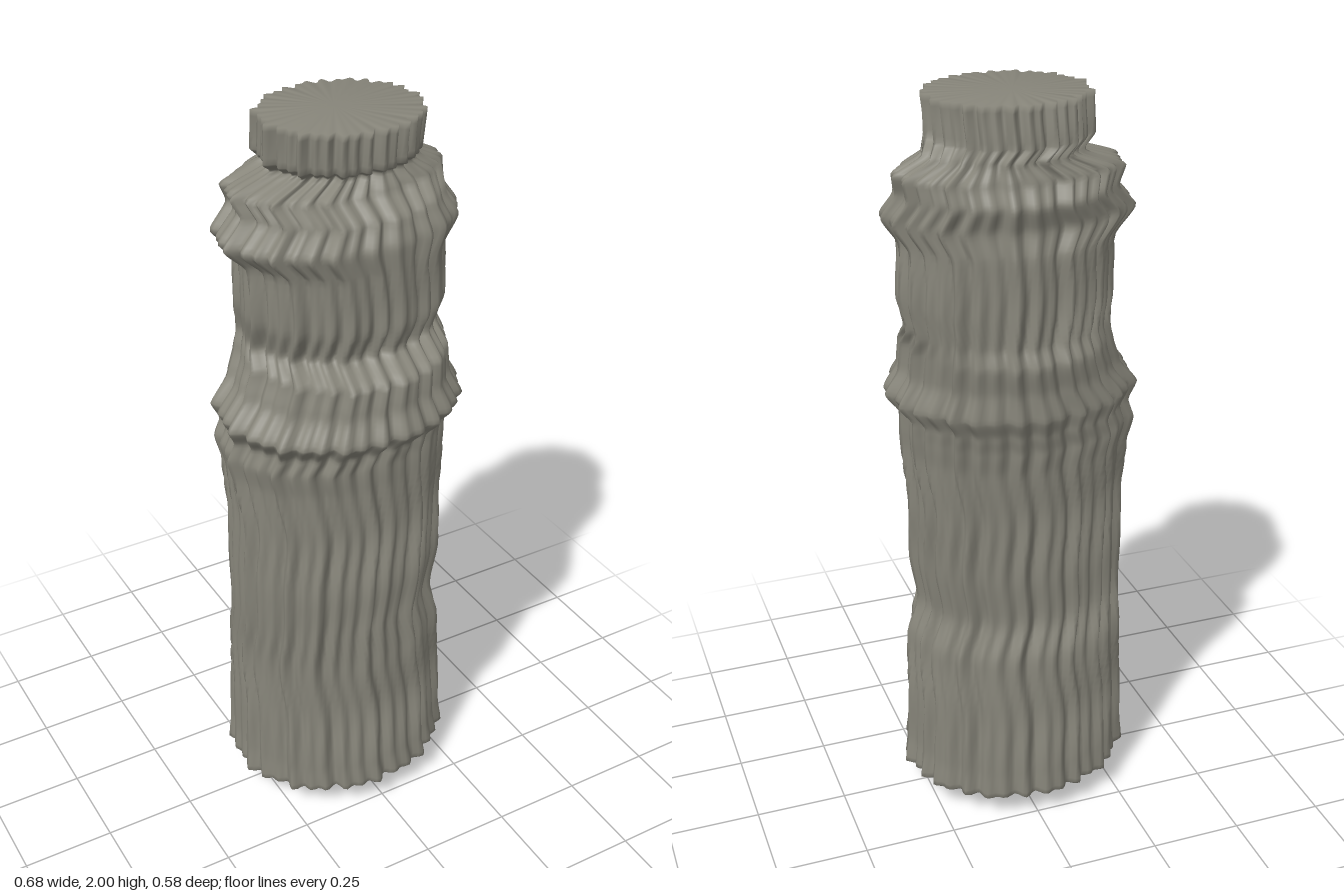
import * as THREE from 'three';

// Cross-sections: y, left edge, right edge, back edge, front edge
const LEVELS = [
  [0.04, -0.23, 0.19, -0.20, 0.20],
  [0.08, -0.325, 0.305, -0.28, 0.27],
  [0.16, -0.32, 0.295, -0.275, 0.262],
  [0.35, -0.315, 0.29, -0.26, 0.24],
  [0.50, -0.315, 0.285, -0.25, 0.235],
  [0.61, -0.31, 0.25, -0.23, 0.235],
  [0.75, -0.312, 0.27, -0.235, 0.245],
  [0.92, -0.305, 0.272, -0.238, 0.235],
  [1.06, -0.315, 0.285, -0.245, 0.232],
  [1.13, -0.33, 0.29, -0.255, 0.235],
  [1.18, -0.31, 0.29, -0.265, 0.245],
  [1.23, -0.335, 0.325, -0.282, 0.285],
  [1.30, -0.28, 0.29, -0.275, 0.258],
  [1.37, -0.255, 0.285, -0.285, 0.255],
  [1.42, -0.24, 0.28, -0.265, 0.175],
  [1.50, -0.25, 0.295, -0.265, 0.20],
  [1.64, -0.25, 0.288, -0.265, 0.20],
  [1.71, -0.315, 0.33, -0.25, 0.20],
  [1.77, -0.255, 0.295, -0.265, 0.18],
  [1.82, -0.275, 0.305, -0.235, 0.125],
  [1.865, -0.16, 0.23, -0.215, 0.10],
  [1.90, -0.195, 0.21, -0.215, 0.165],
  [2.00, -0.195, 0.215, -0.20, 0.168],
];
const SEG = 180, ROWS = 130;

// Irregular vertical ridges, drifting slowly with height
function ridge(a, y) {
  const drift = 0.03 * Math.sin(y * 9) + 0.02 * Math.sin(y * 21 + 1);
  const t = a + drift;
  return 0.0085 * Math.sin(36 * t + 0.8 * Math.sin(3 * t))
    + 0.006 * Math.sin(23 * t + 1.3)
    + 0.004 * Math.sin(11 * t + 0.4 + 1.5 * Math.sin(y * 3));
}

// Smooth interpolation of the cross-section table
function sectionAt(u) {
  const i = Math.min(Math.floor(u), LEVELS.length - 2), f = u - i;
  const get = (k) => LEVELS[THREE.MathUtils.clamp(k, 0, LEVELS.length - 1)];
  const s = f * f * (3 - 2 * f);
  return get(i).map((v, k) => THREE.MathUtils.lerp(v, get(i + 1)[k], k === 0 ? f : 0.5 * (f + s)));
}

function columnGeometry() {
  const pos = [], index = [];
  for (let r = 0; r <= ROWS; r++) {
    const [y, l, rt, b, fr] = sectionAt(r / ROWS * (LEVELS.length - 1));
    const cx = (l + rt) / 2, cz = (b + fr) / 2;
    const rx = (rt - l) / 2 - 0.006, rz = (fr - b) / 2 - 0.006;
    for (let s = 0; s < SEG; s++) {
      const a = s / SEG * Math.PI * 2, d = ridge(a, y);
      pos.push(cx + (rx + d) * Math.cos(a), y, cz + (rz + d) * Math.sin(a));
    }
  }
  for (let r = 0; r < ROWS; r++) {
    for (let s = 0; s < SEG; s++) {
      const n = (s + 1) % SEG;
      const a = r * SEG + s, b = r * SEG + n, c = a + SEG, d = b + SEG;
      index.push(a, c, b, b, c, d);
    }
  }
  // Pointed base and flat top, fanned from their centres
  const bottom = pos.length / 3, top = bottom + 1, last = ROWS * SEG;
  pos.push(-0.01, 0, 0, 0, 2, -0.03);
  for (let s = 0; s < SEG; s++) {
    const n = (s + 1) % SEG;
    index.push(bottom, s, n, top, last + n, last + s);
  }
  const g = new THREE.BufferGeometry();
  g.setAttribute('position', new THREE.Float32BufferAttribute(pos, 3));
  g.setIndex(index);
  g.computeVertexNormals();
  return g;
}

export function createModel() {
  const group = new THREE.Group();
  group.name = 'rockColumn';
  const stone = new THREE.MeshStandardMaterial({ color: 0x87857a });
  stone.name = 'grey stone';
  const column = new THREE.Mesh(columnGeometry(), stone);
  column.name = 'flutedColumn';
  group.add(column);
  return group;
}
